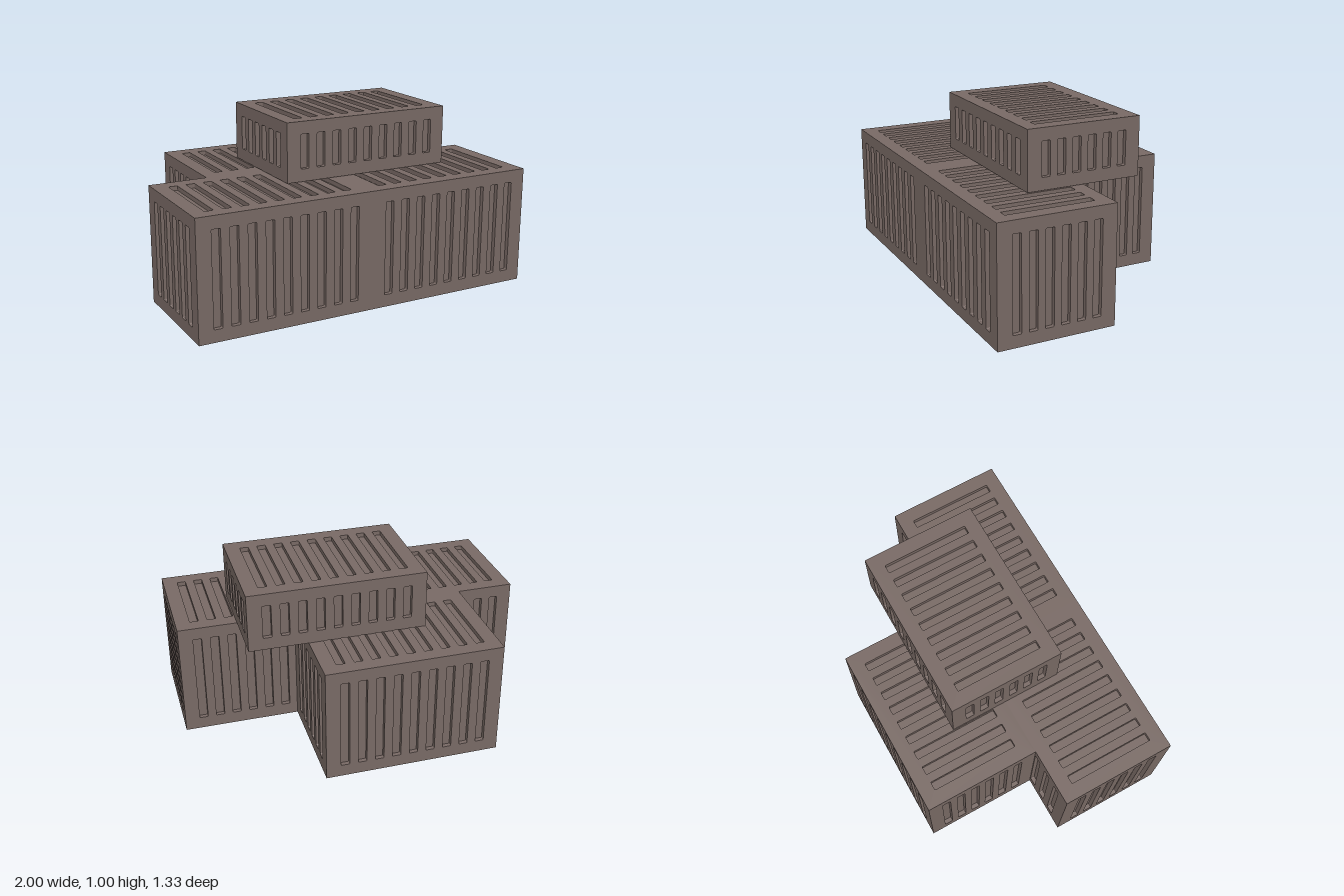
import * as THREE from 'three';
import { mergeGeometries } from 'three/addons/utils/BufferGeometryUtils.js';

const SLOT_WIDTH = 0.049, SLOT_DEPTH = 0.025, CORNER = 0.006, SIDE_MARGIN = 0.083, END_MARGIN = 0.07;

// Upright slot outline with small rounded corners, counter-clockwise
function slotShape(cx, height) {
  const x0 = cx - SLOT_WIDTH / 2, x1 = cx + SLOT_WIDTH / 2, y0 = -height / 2, y1 = height / 2, r = CORNER;
  const s = new THREE.Shape();
  s.moveTo(x0 + r, y0);
  s.lineTo(x1 - r, y0);
  s.quadraticCurveTo(x1, y0, x1, y0 + r);
  s.lineTo(x1, y1 - r);
  s.quadraticCurveTo(x1, y1, x1 - r, y1);
  s.lineTo(x0 + r, y1);
  s.quadraticCurveTo(x0, y1, x0, y1 - r);
  s.lineTo(x0, y0 + r);
  s.quadraticCurveTo(x0, y0, x0 + r, y0);
  return s;
}

// Walls of a recess, facing into the slot
function recessWalls(points) {
  const pos = [];
  points.forEach((a, i) => {
    const b = points[(i + 1) % points.length];
    if (a.distanceTo(b) < 1e-6) return;
    pos.push(a.x, a.y, 0, b.x, b.y, 0, b.x, b.y, -SLOT_DEPTH);
    pos.push(a.x, a.y, 0, b.x, b.y, -SLOT_DEPTH, a.x, a.y, -SLOT_DEPTH);
  });
  const g = new THREE.BufferGeometry();
  g.setAttribute('position', new THREE.Float32BufferAttribute(pos, 3));
  g.computeVertexNormals();
  return g;
}

function flatShape(shape, z) {
  const g = new THREE.ShapeGeometry(shape, 3).toNonIndexed();
  g.deleteAttribute('uv');
  return g.translate(0, 0, z);
}

// Flat panel facing +z with a row of recessed slots
function slottedPanel(w, h, count, endMargin) {
  const face = new THREE.Shape([
    new THREE.Vector2(-w / 2, -h / 2), new THREE.Vector2(w / 2, -h / 2),
    new THREE.Vector2(w / 2, h / 2), new THREE.Vector2(-w / 2, h / 2),
  ]);
  const parts = [];
  const span = w - 2 * SIDE_MARGIN - SLOT_WIDTH;
  for (let i = 0; i < count; i++) {
    const slot = slotShape(-span / 2 + (span * i) / (count - 1), h - 2 * endMargin);
    face.holes.push(slot);
    parts.push(recessWalls(slot.getPoints(3)), flatShape(slot, -SLOT_DEPTH));
  }
  parts.push(flatShape(face, 0));
  return mergeGeometries(parts);
}

// Closed crate with six slotted panels, centred on its own middle
function crateGeometry(w, h, d) {
  const panels = [];
  for (const k of [0, 1]) {
    panels.push(slottedPanel(w, h, 9, END_MARGIN).translate(0, 0, d / 2).rotateY(k * Math.PI));
    panels.push(slottedPanel(d, h, 6, END_MARGIN).translate(0, 0, w / 2).rotateY(Math.PI / 2 + k * Math.PI));
    panels.push(slottedPanel(w, d, 9, SIDE_MARGIN).translate(0, 0, h / 2).rotateX(-Math.PI / 2 + k * Math.PI));
  }
  return mergeGeometries(panels);
}

export function createModel() {
  const group = new THREE.Group();
  const material = new THREE.MeshStandardMaterial({ color: 0x7a6b66 });
  const large = crateGeometry(1, 0.667, 0.667);
  const small = crateGeometry(1, 0.333, 0.667);

  // Three large crates on the ground, one low crate stacked on them
  const crates = [
    ['frontRightCrate', large, -0.5, 0.3335, 0.3335],
    ['frontLeftCrate', large, 0.5, 0.3335, 0.3335],
    ['backCrate', large, -0.167, 0.3335, -0.3335],
    ['topCrate', small, 0.165, 0.8365, 0],
  ];
  for (const [name, geometry, x, y, z] of crates) {
    const mesh = new THREE.Mesh(geometry, material);
    mesh.name = name;
    mesh.position.set(x, y, z);
    group.add(mesh);
  }
  return group;
}
